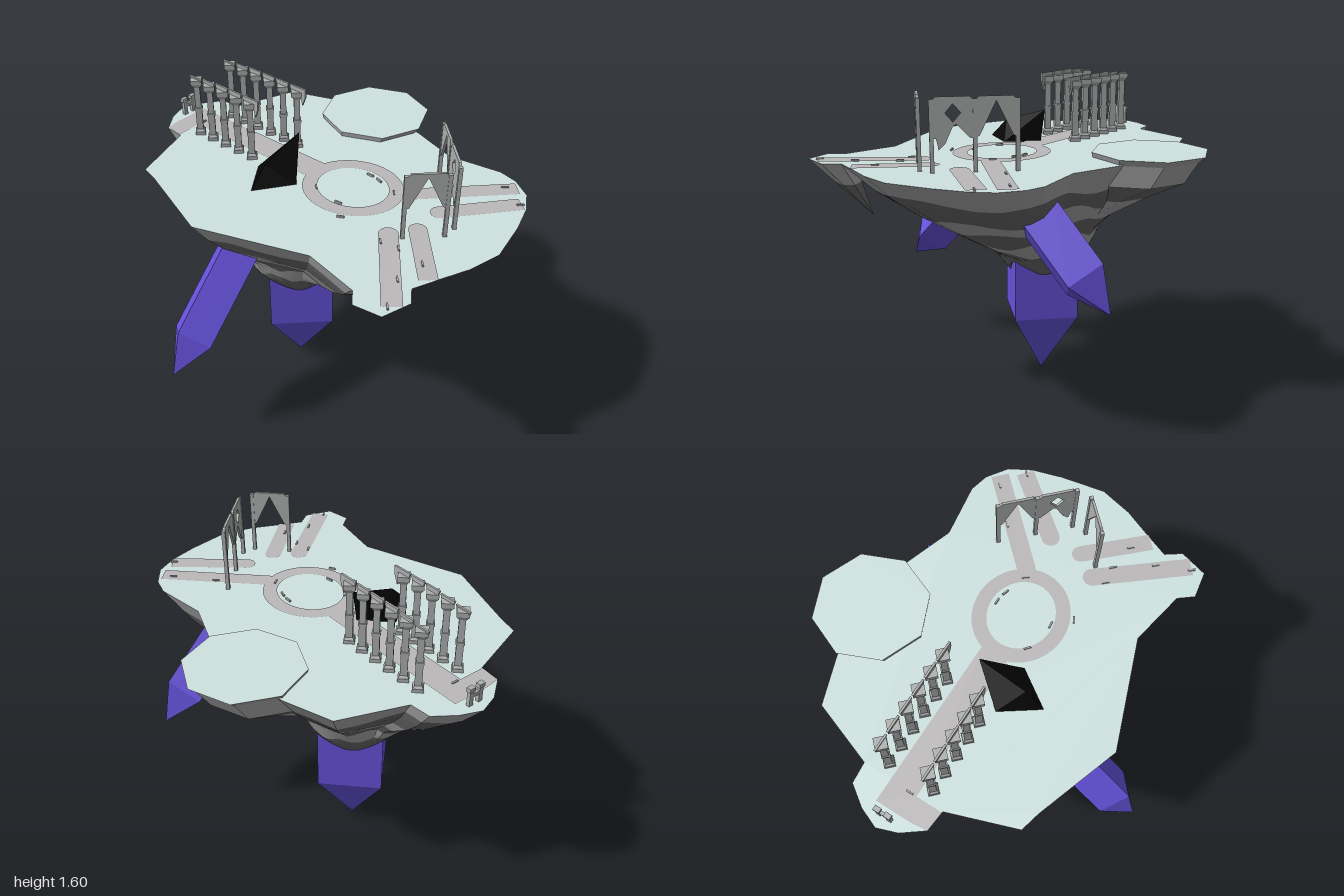
import * as THREE from 'three';
import { ConvexGeometry } from 'three/addons/geometries/ConvexGeometry.js';

const mat = (name, color) => {
  const m = new THREE.MeshStandardMaterial({ color });
  m.name = name;
  return m;
};
const V = (x, y, z) => new THREE.Vector3(x, y, z);
const TOP = 1.27, CX = -0.147;

// Ground outline (x, z), clockwise seen from above; SPUR is the small front-left point
const SPUR = [[0.848, 0.406], [0.9, 0.48], [0.858, 0.62], [0.725, 0.64], [0.67, 0.57]];
const BACK = [
  [-1, -0.02], [-0.96, -0.12], [-0.89, -0.22], [-0.785, -0.23], [-0.67, -0.55], [-0.43, -0.635],
  [CX, -0.7], [0.14, -0.635], [0.39, -0.55], [0.66, -0.59], [0.757, -0.567], [0.858, -0.497],
  [0.917, -0.39], [0.96, -0.24], [1, -0.02], [0.96, 0.144], [0.906, 0.267],
];
const FRONT = [[0.39, 0.513], [CX, 0.7], [-0.57, 0.55], [-0.67, 0.524], [-0.785, 0.19], [-0.89, 0.18], [-0.965, 0.08]];
const OUTLINE = [...BACK, ...SPUR, ...FRONT];
const ROCK_RIM = [...BACK, SPUR[0], SPUR[4], ...FRONT];

// Faceted normals
function flat(geo) {
  const g = geo.index ? geo.toNonIndexed() : geo;
  g.computeVertexNormals();
  return g;
}

// Skin a stack of closed rings, top to bottom
function loft(rows) {
  const pts = [];
  for (let r = 0; r < rows.length - 1; r++) {
    const A = rows[r], B = rows[r + 1], n = A.length;
    for (let i = 0; i < n; i++) {
      const j = (i + 1) % n;
      pts.push(A[i], A[j], B[i], A[j], B[j], B[i]);
    }
  }
  return flat(new THREE.BufferGeometry().setFromPoints(pts));
}

// Flat floor from (x, z) points
function floor(points, y, hole) {
  const s = new THREE.Shape(points.map(([x, z]) => new THREE.Vector2(x, -z)));
  if (hole) s.holes.push(new THREE.Path(hole.map(([x, z]) => new THREE.Vector2(x, -z))));
  return new THREE.ShapeGeometry(s).rotateX(-Math.PI / 2).translate(0, y, 0);
}

const ellipse = (cx, cz, rx, rz, n = 40) => Array.from({ length: n }, (_, i) => {
  const a = (i / n) * Math.PI * 2;
  return [cx - rx * Math.cos(a), cz - rz * Math.sin(a)];
});

export function createModel() {
  const root = new THREE.Group();
  root.name = 'floatingIsland';
  const grass = mat('paleGround', 0xcee3e0), path = mat('pathGrey', 0xbcb9ba);
  const rockLight = mat('rockLight', 0xa8a8a8), rockDark = mat('rockDark', 0x676767);
  const violet = mat('violetCrystal', 0x6651da), black = mat('black', 0x050505);
  const stone = mat('stone', 0xacafae);
  const add = (name, geo, m, parent = root) => {
    const mesh = new THREE.Mesh(geo, m);
    mesh.name = name;
    parent.add(mesh);
    return mesh;
  };

  // Rock underside: rings shrink from the rim to the root, in wavy bands
  const rim = [];
  ROCK_RIM.forEach(([x, z], i) => {
    const [x2, z2] = ROCK_RIM[(i + 1) % ROCK_RIM.length];
    for (let k = 0; k < 4; k++) rim.push([x + (x2 - x) * k / 4, z + (z2 - z) * k / 4]);
  });
  const ys = [TOP, 1.13, 1.03, 0.85, 0.7, 0.57];
  const rockPoint = ([x, z], y) => {
    const R = Math.hypot(x - CX, z);
    const rs = [R, 0.86 * R, 0.73 * R, 0.2 + 0.25 * R * R, 0.25, 0.15];
    let k = 0;
    while (k < 4 && y < ys[k + 1]) k++;
    const r = THREE.MathUtils.lerp(rs[k], rs[k + 1], (ys[k] - y) / (ys[k] - ys[k + 1]));
    return V(CX + (x - CX) * r / R, y, z * r / R);
  };
  const edges = [TOP, 1.16, 1.04, 0.94, 0.84, 0.74];
  const edgeY = (k, p) => {
    const a = Math.atan2(p[1], p[0] - CX);
    if (k === 0) return TOP;
    if (k === 6) {
      const q = a / (Math.PI / 2);
      return 0.575 + 0.2 * Math.abs(q - Math.floor(q) - 0.5);
    }
    return edges[k] + 0.02 * Math.sin(9 * a + k * 1.7) + 0.012 * Math.sin(5 * a + k * 2.9);
  };
  const rock = new THREE.Group();
  rock.name = 'rock';
  root.add(rock);
  for (let k = 0; k < 6; k++) {
    const rows = [0, 1, 2, 3].map(s => rim.map(p =>
      rockPoint(p, THREE.MathUtils.lerp(edgeY(k, p), edgeY(k + 1, p), s / 3))));
    add('rockBand', loft(rows), k % 2 ? rockDark : rockLight, rock);
  }
  add('rockRoot', loft([rim.map(p => rockPoint(p, edgeY(6, p))), rim.map(() => V(CX, 0.7, 0))]), rockDark, rock);
  add('ground', floor(OUTLINE, TOP), grass);

  // Small spur of rock narrowing to a point
  const spurRing = t => [...SPUR, [0.73, 0.45]].map(([x, z]) =>
    V(x + (0.69 - x) * t, TOP + (1.0 - TOP) * t, z + (0.38 - z) * t));
  add('spurRock', loft([spurRing(0), spurRing(0.4)]), rockLight, rock);
  add('spurRock', loft([spurRing(0.4), spurRing(1)]), rockDark, rock);

  // Raised eight-sided terrace at the back with its own rock
  const ring = (y, z, r) => ellipse(CX, z, r, r, 8).map(p => V(p[0], y, p[1]));
  const lobe = [ring(1.295, -0.635, 0.285), ring(1.265, -0.62, 0.265), ring(1.16, -0.56, 0.26), ring(1.06, -0.42, 0.2), ring(0.93, -0.25, 0.15)];
  add('terraceRock', loft(lobe.slice(0, 3)), rockLight, rock);
  add('terraceRock', loft(lobe.slice(2, 4)), rockDark, rock);
  add('terraceRock', loft(lobe.slice(3)), rockLight, rock);
  add('terraceTop', floor(ellipse(CX, -0.635, 0.285, 0.285, 8), 1.295), grass);

  // Paths: main walk, round walk and four branches
  const py = TOP + 0.004;
  add('mainPath', floor([[-0.9, -0.085], [-0.01, -0.085], [-0.03, 0.055], [-0.79, 0.055], [-0.79, 0.19], [-0.89, 0.18], [-0.9, 0.1]], py), path);
  add('roundPath', floor(ellipse(0.2, -0.015, 0.25, 0.23), py, ellipse(0.2, -0.015, 0.178, 0.16)), path);
  const branch = (ax, az, bx, bz, w) => {
    const a = Math.atan2(bz - az, bx - ax), pts = [];
    for (let i = 0; i <= 8; i++) {
      const t = a + Math.PI / 2 + i * Math.PI / 8;
      pts.push([ax + w / 2 * Math.cos(t), az + w / 2 * Math.sin(t)]);
    }
    const sx = Math.sin(a) * w / 2, sz = Math.cos(a) * w / 2;
    pts.push([bx + sx, bz - sz], [bx - sx, bz + sz]);
    add('branchPath', floor(pts, py), path);
  };
  branch(0.42, -0.12, 0.8, -0.51, 0.09);
  branch(0.63, -0.11, 0.88, -0.41, 0.09);
  branch(0.63, 0.06, 0.87, 0.32, 0.085);
  branch(0.55, 0.17, 0.855, 0.55, 0.09);

  // Four-sided crystals: prism plus point along -y, tilted about x
  const crystal = (name, r, len, tip, pos, tilt) => {
    const g = new THREE.Group();
    g.name = name;
    add('crystalBody', flat(new THREE.CylinderGeometry(r, r, len, 4).translate(0, len / 2, 0)), violet, g);
    add('crystalTip', flat(new THREE.CylinderGeometry(r, 0, tip, 4, 1, true).translate(0, -tip / 2, 0)), violet, g);
    g.position.set(...pos);
    g.rotation.x = tilt;
    root.add(g);
  };
  crystal('bottomCrystal', 0.235, 0.37, 0.35, [CX, 0.35, -0.01], 0);
  crystal('frontCrystal', 0.122, 0.52, 0.21, [CX, 0.645, 0.765], -Math.PI / 4);
  crystal('backCrystal', 0.13, 0.37, 0.195, [0.43, 0.815, -0.645], Math.PI / 4);

  // Black shard on the ground
  add('blackShard', flat(new ConvexGeometry([
    V(CX, TOP, 0.32), V(-0.272, TOP, 0.14), V(-0.022, TOP, 0.14), V(CX, TOP, 0),
    V(CX, 1.365, 0.22), V(CX, 1.435, -0.025),
  ])), black);

  // Colonnade: column pieces as [bottom radius, top radius, y0, y1]
  const pieces = [[0.036, 0.036, 0, 0.018], [0.034, 0.022, 0.018, 0.03], [0.023, 0.023, 0.03, 0.14],
    [0.028, 0.028, 0.14, 0.152], [0.021, 0.021, 0.152, 0.265], [0.021, 0.038, 0.265, 0.285], [0.04, 0.04, 0.285, 0.308]];
  const column = (x, z) => {
    const g = new THREE.Group();
    g.name = 'column';
    for (const [b, t, y0, y1] of pieces)
      add('columnPiece', flat(new THREE.CylinderGeometry(t, b, y1 - y0, 4).translate(0, (y0 + y1) / 2, 0)), stone, g);
    g.position.set(x, TOP, z);
    root.add(g);
  };
  const panel = (pts, thick, hole) => {
    const s = new THREE.Shape(pts.map(p => new THREE.Vector2(...p)));
    if (hole) s.holes.push(new THREE.Path(hole.map(p => new THREE.Vector2(...p))));
    return new THREE.ExtrudeGeometry(s, { depth: thick, bevelEnabled: false }).translate(0, 0, -thick / 2);
  };
  // Each column carries the broken springing of an arch
  const STEP = 0.093, X0 = -0.725;
  for (const [z, n] of [[-0.135, 6], [0.1, 5]]) {
    for (let i = 0; i < n; i++) {
      const x = X0 + i * STEP, top = Math.min(1.6, 1.585 + 0.008 * i);
      column(x, z);
      add('archSpringing', panel([[x - 0.043, top], [x - 0.025, 1.545], [x + 0.025, 1.545], [x + 0.043, top]], 0.01), stone).position.z = z;
    }
    const e = X0 + STEP * (n - 1) + 0.03;
    add('brokenArch', panel([[e, 1.6], [e, 1.56], [e + 0.01, 1.51], [e + 0.03, 1.56], [e + 0.03, 1.6]], 0.01), stone).position.z = z;
  }

  // Ruined gates: thin posts with pointed arch panels between them
  const post = (x, z) => {
    const g = add('gatePost', new THREE.BoxGeometry(0.018, 0.32, 0.018), stone);
    g.position.set(x, TOP + 0.16, z);
    g.rotation.y = Math.PI / 4;
  };
  const bay = (ax, az, bx, bz, pierced) => {
    const L = Math.hypot(bx - ax, bz - az), h = L / 2;
    const pts = pierced
      ? [[0.02, 1.6], [0, 1.58], [0, 1.42], [0.02, 1.42], [h - 0.015, 1.48], [h, 1.475], [L - 0.06, 1.4], [L - 0.03, 1.37], [L - 0.02, 1.42], [L, 1.42], [L, 1.58], [L - 0.02, 1.6]]
      : [[0.02, 1.6], [0, 1.58], [0, 1.42], [0.02, 1.43], [h, 1.58], [L - 0.02, 1.43], [L, 1.42], [L, 1.58], [L - 0.02, 1.6]];
    const hole = pierced && [[h, 1.49], [h + 0.034, 1.53], [h, 1.57], [h - 0.034, 1.53]];
    const m = add('gateArch', panel(pts, 0.012, hole), stone);
    m.position.set(ax, 0, az);
    m.rotation.y = -Math.atan2(bz - az, bx - ax);
  };
  [[0.48, -0.32], [0.612, -0.188], [0.745, -0.055], [0.612, 0.152], [0.745, 0.02]].forEach(p => post(...p));
  bay(0.48, -0.32, 0.612, -0.188, false);
  bay(0.612, -0.188, 0.745, -0.055, true);
  bay(0.612, 0.152, 0.745, 0.02, false);

  // Small stone marker at the left end
  const box = (name, w, h, d, x, y, z, ry = 0) => {
    const b = add(name, new THREE.BoxGeometry(w, h, d), stone);
    b.position.set(x, y, z);
    b.rotation.y = ry;
  };
  for (const z of [-0.04, 0.015]) {
    box('markerPost', 0.018, 0.075, 0.022, -0.937, TOP + 0.037, z);
    box('markerCap', 0.024, 0.02, 0.032, -0.937, TOP + 0.083, z);
  }
  box('markerBar', 0.016, 0.018, 0.05, -0.937, TOP + 0.05, -0.012);

  // Low kerb stones along the paths
  const kerbs = [[0.2, -0.15, 0], [0.26, -0.14, -0.3], [0.38, -0.1, -0.9], [0.07, 0.1, -0.7], [0.23, 0.13, 0.1], [0.31, 0.21, 0.5],
    [0.58, -0.33, 0.8], [0.75, -0.48, 0.8], [0.88, -0.4, 0.8], [0.56, 0.24, -0.8], [0.65, 0.23, -0.8], [0.77, 0.4, -0.8],
    [0.84, 0.56, -0.8], [0.79, 0.25, -0.8], [-0.79, 0.02, 1.57]];
  for (const [x, z, a] of kerbs) box('kerbStone', 0.035, 0.01, 0.008, x, TOP + 0.005, z, a);
  return root;
}
